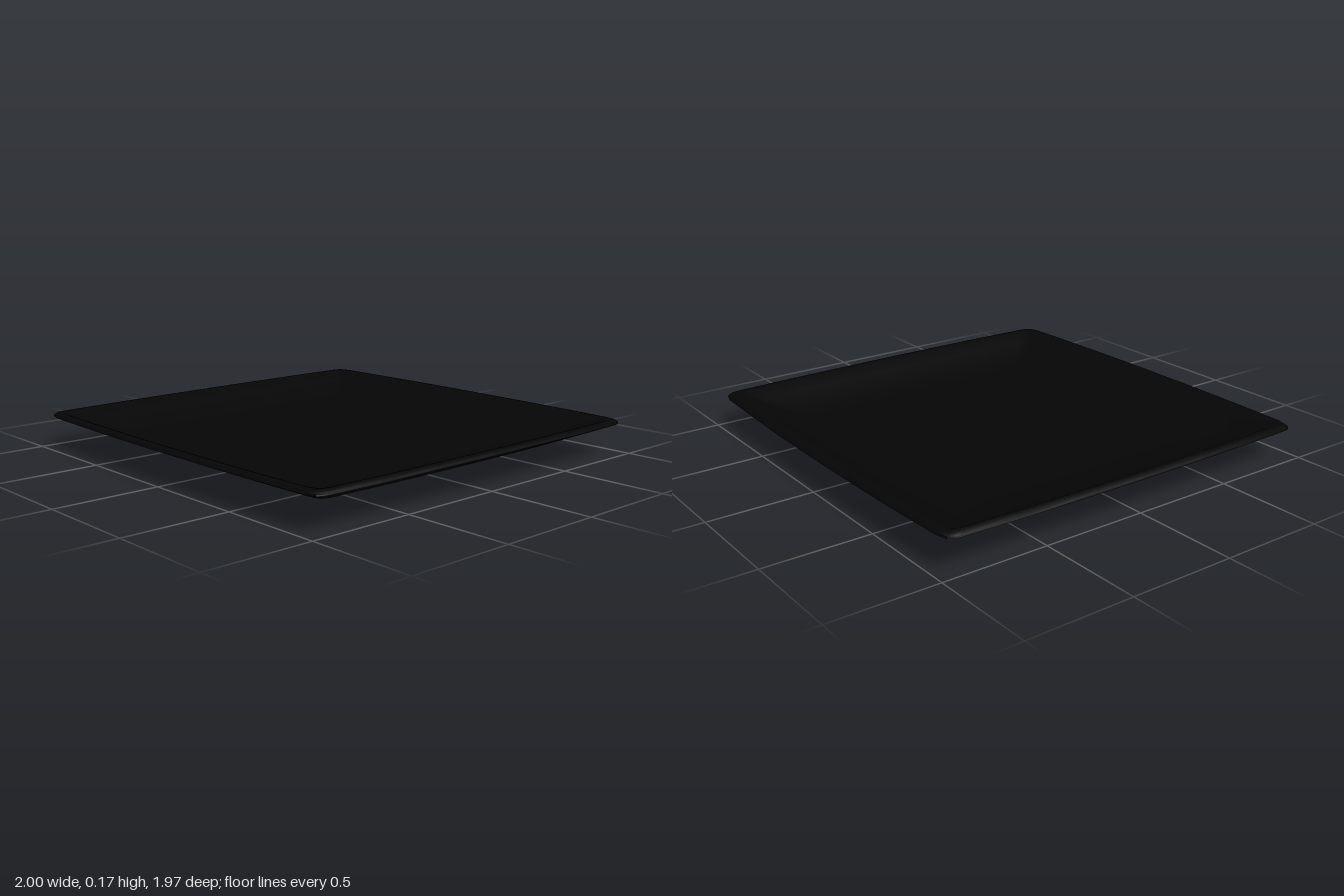
import * as THREE from 'three';
import { toCreasedNormals } from 'three/addons/utils/BufferGeometryUtils.js';

// One quarter of the softly bowed square outline, from the +x edge to the z edge
const QUARTER = [[1, 0], [0.997, 0.36], [0.992, 0.64], [0.983, 0.9], [0.978, 0.93], [0.963, 0.95],
  [0.91, 0.964], [0.64, 0.975], [0.36, 0.982], [0, 0.985]];

// Mirror the quarter into a closed loop
function outline() {
  const loop = [];
  for (const [sx, sz] of [[1, -1], [-1, -1], [-1, 1], [1, 1]]) {
    const points = sx * sz < 0 ? QUARTER : [...QUARTER].reverse();
    for (const [x, z] of points.slice(0, -1)) loop.push([sx * x, sz * z]);
  }
  return loop;
}

// Loft scaled copies of the outline along a [scale, height] profile
function loft(profile) {
  const loop = outline();
  const n = loop.length;
  const positions = [];
  const index = [];
  for (const [s, y] of profile) for (const [x, z] of loop) positions.push(x * s, y, z * s);
  for (let i = 0; i < profile.length - 1; i++) {
    for (let j = 0; j < n; j++) {
      const k = (j + 1) % n;
      const a = i * n + j, b = i * n + k, c = a + n, d = b + n;
      if (profile[i][0] > 0) index.push(a, b, d);
      if (profile[i + 1][0] > 0) index.push(a, d, c);
    }
  }
  const geometry = new THREE.BufferGeometry();
  geometry.setAttribute('position', new THREE.Float32BufferAttribute(positions, 3));
  geometry.setIndex(index);
  return toCreasedNormals(geometry, 0.6);
}

export function createModel() {
  const model = new THREE.Group();
  model.name = 'squarePlate';
  const glaze = new THREE.MeshStandardMaterial({ color: 0x050505 });

  // Foot, flared underside, rim and shallow dished top in one closed skin
  const plate = new THREE.Mesh(loft([
    [0, 0], [0.44, 0],
    [0.44, 0.017], [0.6, 0.028], [0.68, 0.035], [0.74, 0.048], [0.8, 0.065], [0.9, 0.107],
    [1, 0.15], [0.998, 0.158], [0.988, 0.167], [0.97, 0.17], [0.955, 0.166],
    [0.89, 0.135], [0.79, 0.092], [0.73, 0.073], [0.67, 0.06], [0.58, 0.052], [0.44, 0.045], [0, 0.042],
  ]), glaze);
  plate.name = 'plate';
  model.add(plate);
  return model;
}
